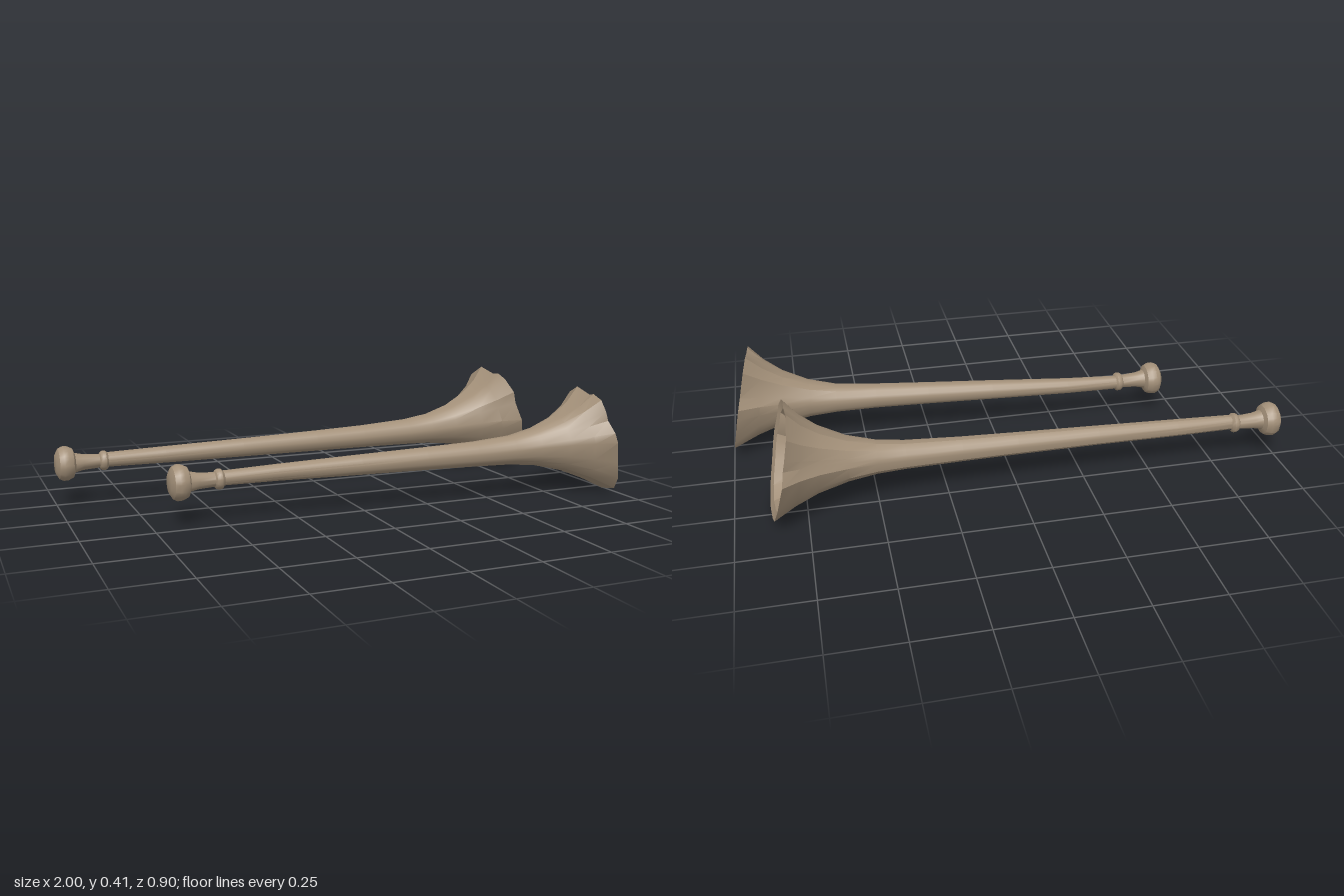
import * as THREE from 'three';
import { toCreasedNormals } from 'three/addons/utils/BufferGeometryUtils.js';

const horn = new THREE.MeshStandardMaterial({ color: 0xa39079 });
horn.name = 'dull horn brown';

// Joins rings of points (low x to high x) into a surface facing outward
function loft(name, rings, crease) {
  const n = rings[0].length;
  const pos = [], index = [];
  rings.forEach((ring) => ring.forEach((p) => pos.push(...p)));
  for (let r = 0; r < rings.length - 1; r++) {
    for (let i = 0; i < n; i++) {
      const j = (i + 1) % n;
      const a = r * n + i, b = r * n + j, c = a + n, d = b + n;
      index.push(a, b, c, b, d, c);
    }
  }
  const geo = new THREE.BufferGeometry();
  geo.setAttribute('position', new THREE.Float32BufferAttribute(pos, 3));
  geo.setIndex(index);
  const mesh = new THREE.Mesh(toCreasedNormals(geo, crease), horn);
  mesh.name = name;
  return mesh;
}

// Builds one horn; rim is the scalloped bell edge as [z, y] points
function makeHorn(name, { rim, rimCentre, tilt, mouth, body, throat }) {
  const group = new THREE.Group();
  group.name = name;
  const [cx, cy, cz] = rimCentre;
  const offsets = rim.map(([z, y]) => [y - cy, z - cz]);
  const meanR = offsets.reduce((s, o) => s + Math.hypot(...o), 0) / offsets.length;

  // Ring at a station: circular at w = 0, rim-shaped and tilted at w = 1
  const ring = ([x, y, z, r, w = 0]) => offsets.map(([oy, oz]) => {
    const len = Math.hypot(oy, oz);
    const k = r * ((1 - w) / len + w / meanR);
    const dy = oy * k, dz = oz * k;
    return [x + w * (tilt[0] * dy + tilt[1] * dz), y + dy, z + dz];
  });

  // Knob, neck and collar
  const [mx, my, mz] = mouth;
  const profile = [
    [0, 0.001], [0.001, 0.035], [0.012, 0.055], [0.028, 0.063], [0.045, 0.062], [0.062, 0.054],
    [0.07, 0.036], [0.1, 0.029], [0.158, 0.025], [0.162, 0.032], [0.17, 0.036],
    [0.18, 0.036], [0.187, 0.031], [0.19, 0.026]
  ];
  group.add(loft('mouthpiece', profile.map(([d, r]) => ring([mx + d, my, mz, r])), 0.6));

  // Outside of the tube and bell
  const rimStation = [cx, cy, cz, meanR, 1];
  group.add(loft('tubeAndBell', [...body, rimStation].map(ring), 0.45));

  // Bevelled lip around the bell
  const inner = [cx - 0.008, cy, cz, meanR * 0.85, 1];
  group.add(loft('bellLip', [rimStation, inner].map(ring), 0.3));

  // Hollow inside of the bell, closed at the throat
  const [tx, ty, tz] = throat;
  const mix = (t, r, w) => [
    THREE.MathUtils.lerp(cx, tx, t), THREE.MathUtils.lerp(cy, ty, t),
    THREE.MathUtils.lerp(cz, tz, t), r, w
  ];
  const hollow = [
    inner, mix(0.2, meanR * 0.64, 0.75), mix(0.42, meanR * 0.42, 0.4),
    mix(0.7, meanR * 0.24, 0.1), mix(1, 0.024, 0), mix(1, 0.001, 0)
  ];
  group.add(loft('bellInside', hollow.map(ring), 0.4));
  return group;
}

export function createModel() {
  const model = new THREE.Group();
  model.name = 'pairOfHorns';

  model.add(makeHorn('frontHorn', {
    rim: [
      [0.45, 0.21], [0.43, 0.13], [0.42, 0.07], [0.38, 0.02], [0.29, 0], [0.21, 0.02],
      [0.155, 0.045], [0.13, 0.08], [0.12, 0.12], [0.09, 0.19], [0.09, 0.235], [0.12, 0.27],
      [0.14, 0.36], [0.205, 0.39], [0.29, 0.37], [0.32, 0.376], [0.37, 0.36], [0.393, 0.32],
      [0.4, 0.286], [0.44, 0.245]
    ],
    rimCentre: [0.953, 0.195, 0.27],
    tilt: [-0.21, -0.09],
    mouth: [-0.687, 0.146, 0.178],
    throat: [0.6, 0.17, 0.248],
    body: [
      [-0.5, 0.147, 0.172, 0.026], [-0.3, 0.151, 0.178, 0.03], [0, 0.157, 0.2, 0.037],
      [0.25, 0.162, 0.218, 0.042], [0.45, 0.166, 0.232, 0.047], [0.6, 0.171, 0.239, 0.055],
      [0.7, 0.178, 0.247, 0.071, 0.15], [0.8, 0.186, 0.258, 0.102, 0.4],
      [0.88, 0.191, 0.266, 0.14, 0.7]
    ]
  }));

  model.add(makeHorn('backHorn', {
    rim: [
      [-0.05, 0.223], [-0.058, 0.18], [-0.1, 0.117], [-0.114, 0.08], [-0.15, 0.04],
      [-0.226, 0.012], [-0.318, 0.027], [-0.37, 0.05], [-0.417, 0.117], [-0.451, 0.226],
      [-0.417, 0.267], [-0.417, 0.303], [-0.396, 0.371], [-0.303, 0.415], [-0.218, 0.396],
      [-0.175, 0.4], [-0.131, 0.383], [-0.078, 0.335], [-0.078, 0.29]
    ],
    rimCentre: [0.833, 0.213, -0.253],
    tilt: [-0.21, 0.03],
    mouth: [-1, 0.153, -0.245],
    throat: [0.45, 0.178, -0.245],
    body: [
      [-0.812, 0.156, -0.243, 0.027], [-0.6, 0.158, -0.241, 0.031], [-0.3, 0.162, -0.237, 0.035],
      [0, 0.166, -0.236, 0.04], [0.2, 0.169, -0.236, 0.044], [0.4, 0.174, -0.238, 0.051],
      [0.5, 0.18, -0.24, 0.06], [0.6, 0.189, -0.244, 0.08, 0.2],
      [0.7, 0.2, -0.248, 0.115, 0.5], [0.77, 0.207, -0.251, 0.152, 0.75]
    ]
  }));
  return model;
}
